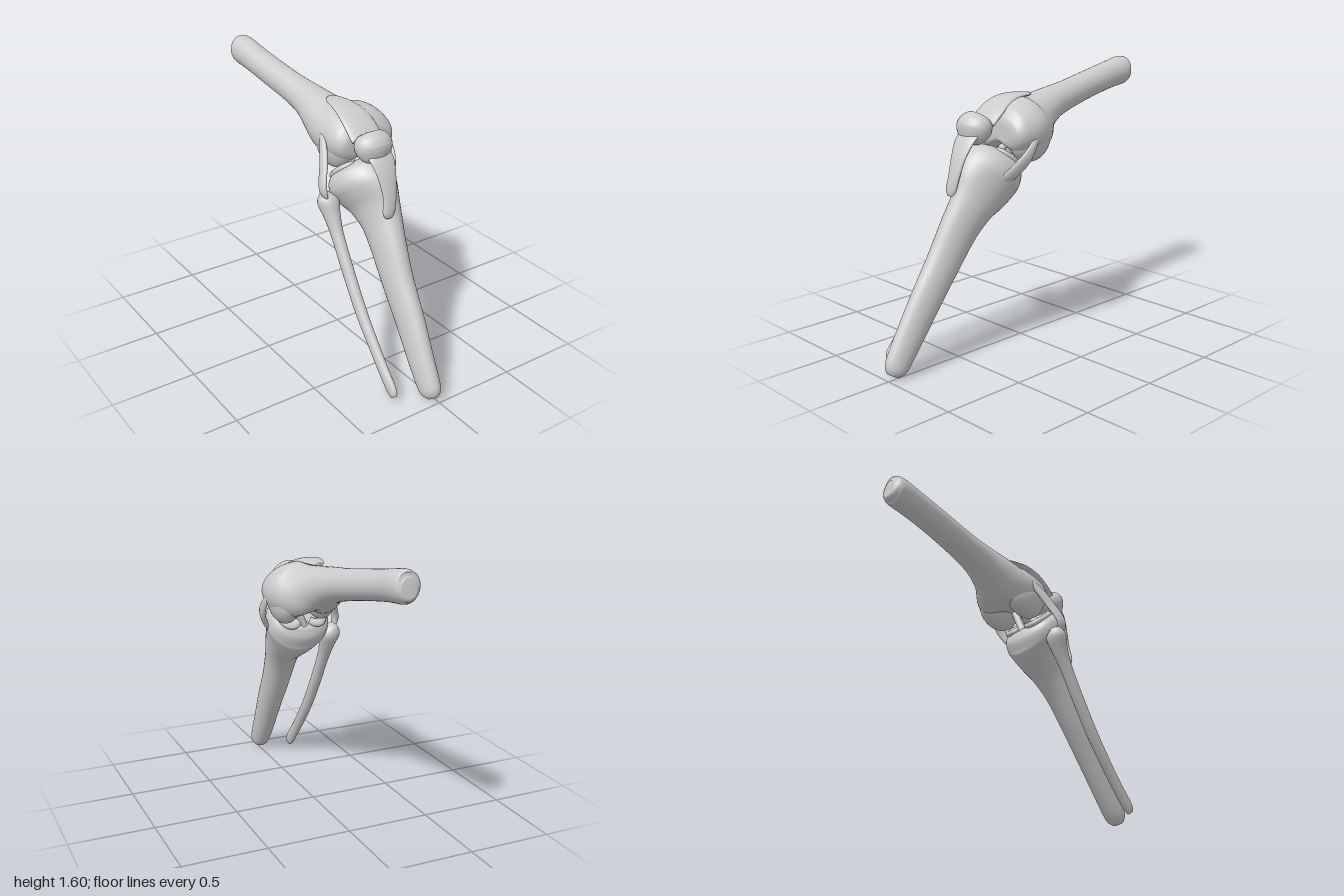
import * as THREE from 'three';

const bone = new THREE.MeshStandardMaterial({ color: 0xcccccc });

// Smooth closed loft. Each section: [x, y, z, halfWidth, halfDepth, notch].
// taper narrows the section toward its front, notch dents its underside.
function loft(name, sections, { rings = 40, sides = 28, taper = 0 } = {}) {
  const curve = (pick) => new THREE.CatmullRomCurve3(
    sections.map((s) => new THREE.Vector3(...pick(s))), false, 'catmullrom');
  const path = curve((s) => [s[0], s[1], s[2]]);
  const size = curve((s) => [s[3], s[4], s[5] || 0]);
  const X = new THREE.Vector3(1, 0, 0);
  const pos = [], index = [];
  for (let i = 0; i <= rings; i++) {
    const t = i / rings, c = path.getPoint(t), d = size.getPoint(t);
    const N = path.getTangent(t).cross(X).normalize();
    for (let j = 0; j < sides; j++) {
      const a = (j / sides) * Math.PI * 2, ca = Math.cos(a), sa = Math.sin(a);
      const dent = sa < 0 ? 1 - d.z * Math.exp(-6 * ca * ca) : 1;
      const p = c.clone().addScaledVector(X, ca * d.x * (1 - taper * sa))
        .addScaledVector(N, sa * d.y * dent);
      pos.push(p.x, p.y, p.z);
    }
  }
  const first = pos.length / 3, last = first + 1;
  pos.push(...path.getPoint(0).toArray(), ...path.getPoint(1).toArray());
  for (let j = 0; j < sides; j++) {
    const k = (j + 1) % sides, e = rings * sides;
    for (let i = 0; i < rings; i++) {
      const a = i * sides + j, b = i * sides + k;
      index.push(a, b, a + sides, b, b + sides, a + sides);
    }
    index.push(first, k, j, last, e + j, e + k);
  }
  const g = new THREE.BufferGeometry();
  g.setAttribute('position', new THREE.Float32BufferAttribute(pos, 3));
  g.setIndex(index);
  g.computeVertexNormals();
  const mesh = new THREE.Mesh(g, bone);
  mesh.name = name;
  return mesh;
}

function ellipsoid(name, center, radii) {
  const mesh = new THREE.Mesh(new THREE.SphereGeometry(1, 32, 20), bone);
  mesh.position.set(...center);
  mesh.scale.set(...radii);
  mesh.name = name;
  return mesh;
}

export function createModel() {
  const model = new THREE.Group();
  model.name = 'kneeJoint';

  // Thigh bone: shaft flaring into the notched lower end
  model.add(loft('femur', [
    [-0.06, 1.522, -0.995, 0.04, 0.05],
    [-0.06, 1.52, -0.98, 0.067, 0.075],
    [-0.062, 1.518, -0.94, 0.082, 0.089],
    [-0.057, 1.495, -0.8, 0.082, 0.084],
    [-0.045, 1.457, -0.6, 0.084, 0.084],
    [-0.027, 1.417, -0.4, 0.09, 0.088],
    [-0.013, 1.385, -0.25, 0.108, 0.1],
    [0.0, 1.345, -0.13, 0.142, 0.125, 0.1],
    [0.035, 1.3, -0.02, 0.192, 0.165, 0.35],
    [0.05, 1.29, 0.08, 0.208, 0.172, 0.5],
    [0.05, 1.285, 0.18, 0.197, 0.145, 0.55],
    [0.05, 1.285, 0.225, 0.165, 0.1, 0.5],
    [0.05, 1.285, 0.238, 0.12, 0.06, 0.4],
  ], { rings: 64, sides: 44 }));
  model.add(ellipsoid('innerCondyle', [0.152, 1.245, 0.075], [0.085, 0.137, 0.145]));
  model.add(ellipsoid('outerCondyle', [-0.072, 1.25, 0.075], [0.08, 0.137, 0.145]));

  // Shin bone: plateau set to the rear, swelling forward, then a ridged shaft
  model.add(loft('tibia', [
    [0.0, 1.13, 0.18, 0.145, 0.11],
    [0.0, 1.102, 0.21, 0.182, 0.168],
    [0.004, 1.06, 0.258, 0.187, 0.195],
    [0.014, 1.01, 0.303, 0.157, 0.195],
    [0.025, 0.955, 0.35, 0.126, 0.175],
    [0.023, 0.877, 0.415, 0.107, 0.14],
    [0.01, 0.763, 0.495, 0.092, 0.122],
    [0.0, 0.6, 0.595, 0.082, 0.108],
    [-0.005, 0.416, 0.716, 0.074, 0.1],
    [-0.012, 0.24, 0.825, 0.067, 0.09],
    [-0.015, 0.1, 0.912, 0.061, 0.079],
    [-0.015, 0.048, 0.944, 0.053, 0.065],
    [-0.015, 0.02, 0.96, 0.03, 0.036],
  ], { rings: 64, sides: 36, taper: 0.1 }));

  // Slim outer bone beside the shin
  model.add(loft('fibula', [
    [-0.215, 1.028, 0.185, 0.025, 0.03],
    [-0.204, 0.98, 0.205, 0.062, 0.058],
    [-0.2, 0.9, 0.242, 0.047, 0.05],
    [-0.2, 0.8, 0.295, 0.035, 0.04],
    [-0.2, 0.6, 0.412, 0.033, 0.038],
    [-0.2, 0.4, 0.542, 0.031, 0.038],
    [-0.198, 0.2, 0.7, 0.027, 0.037],
    [-0.198, 0.07, 0.815, 0.023, 0.04],
    [-0.198, 0.03, 0.845, 0.015, 0.025],
  ], { sides: 20 }));

  // Kneecap, broader near its top, with the tendons above and below it
  model.add(loft('kneecap', [
    [-0.005, 1.393, 0.33, 0.035, 0.025],
    [-0.005, 1.383, 0.335, 0.075, 0.055],
    [-0.005, 1.355, 0.343, 0.104, 0.081],
    [-0.005, 1.32, 0.351, 0.112, 0.09],
    [-0.005, 1.285, 0.365, 0.103, 0.081],
    [-0.005, 1.25, 0.382, 0.075, 0.055],
    [-0.005, 1.235, 0.39, 0.035, 0.025],
  ]));
  model.add(loft('upperTendon', [
    [-0.005, 1.466, -0.07, 0.02, 0.008],
    [-0.005, 1.466, -0.03, 0.05, 0.013],
    [-0.01, 1.464, 0.07, 0.072, 0.017],
    [-0.008, 1.438, 0.16, 0.09, 0.021],
    [-0.005, 1.388, 0.235, 0.1, 0.024],
    [-0.005, 1.335, 0.295, 0.1, 0.024],
  ]));
  model.add(loft('lowerTendon', [
    [0.0, 1.29, 0.39, 0.08, 0.025],
    [0.002, 1.245, 0.435, 0.074, 0.02],
    [0.002, 1.17, 0.475, 0.058, 0.018],
    [-0.002, 1.07, 0.505, 0.044, 0.018],
    [-0.015, 0.99, 0.518, 0.04, 0.018],
    [-0.018, 0.955, 0.523, 0.022, 0.01],
  ]));

  // Side ligaments
  model.add(loft('innerLigament', [
    [0.235, 1.275, 0.09, 0.012, 0.01],
    [0.246, 1.23, 0.13, 0.014, 0.024],
    [0.243, 1.16, 0.185, 0.016, 0.036],
    [0.21, 1.09, 0.24, 0.018, 0.04],
    [0.17, 1.04, 0.28, 0.018, 0.036],
    [0.155, 1.02, 0.295, 0.008, 0.015],
  ], { sides: 18 }));
  model.add(loft('outerLigament', [
    [-0.145, 1.32, 0.06, 0.012, 0.015],
    [-0.165, 1.27, 0.1, 0.018, 0.03],
    [-0.197, 1.19, 0.155, 0.02, 0.036],
    [-0.235, 1.1, 0.2, 0.017, 0.036],
    [-0.24, 1.045, 0.217, 0.016, 0.032],
    [-0.222, 1.0, 0.215, 0.012, 0.022],
  ], { sides: 18 }));

  // C-shaped cartilage pads, tilted with the plateau
  const pads = new THREE.Group();
  pads.name = 'menisci';
  pads.position.set(0, 1.128, 0.182);
  pads.rotation.x = -0.72;
  for (const side of [-1, 1]) {
    const arc = new THREE.TorusGeometry(0.06, 0.02, 10, 32, Math.PI * 1.5);
    arc.rotateZ(-Math.PI * 0.75).rotateX(Math.PI / 2).scale(1, 0.9, 1.4);
    if (side < 0) arc.rotateY(Math.PI);
    const pad = new THREE.Mesh(arc, bone);
    pad.name = side > 0 ? 'innerMeniscus' : 'outerMeniscus';
    pad.position.x = side * 0.08;
    pads.add(pad);
  }
  model.add(pads);

  // Crossed ligaments in the notch
  for (const [name, a, b] of [
    ['frontCrossLigament', [-0.01, 1.27, 0.04], [0.03, 1.13, 0.23]],
    ['rearCrossLigament', [0.09, 1.27, 0.13], [0.0, 1.06, 0.13]],
  ]) {
    const line = new THREE.LineCurve3(new THREE.Vector3(...a), new THREE.Vector3(...b));
    const mesh = new THREE.Mesh(new THREE.TubeGeometry(line, 4, 0.022, 12), bone);
    mesh.name = name;
    model.add(mesh);
  }
  return model;
}
